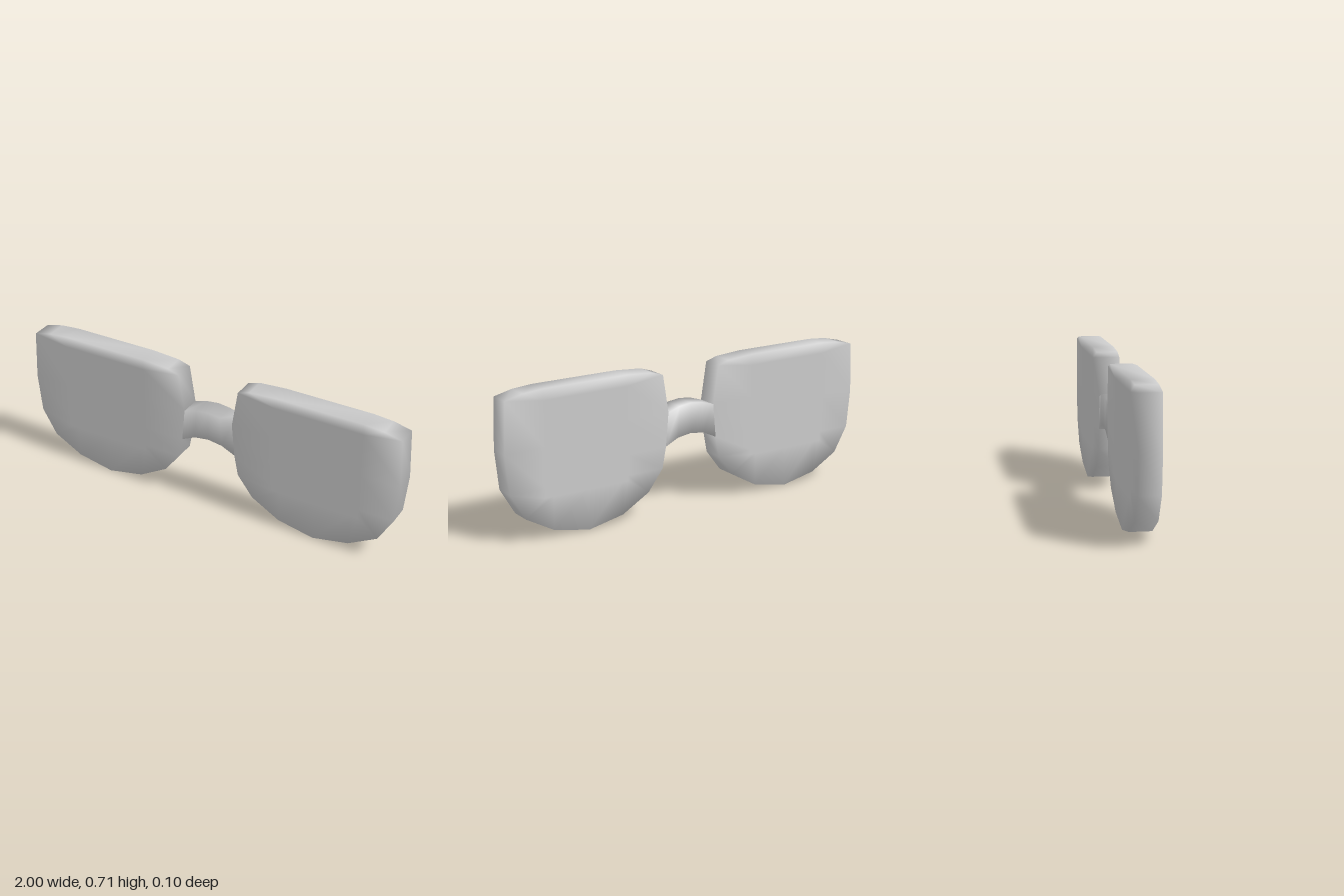
import * as THREE from 'three';
import { mergeVertices } from 'three/addons/utils/BufferGeometryUtils.js';

const DEPTH = 0.052; // half thickness

// Smooth-shaded mesh from a flat list of triangle corners
function smoothMesh(name, corners) {
  const geometry = new THREE.BufferGeometry();
  geometry.setAttribute('position', new THREE.Float32BufferAttribute(corners.flat(), 3));
  const merged = mergeVertices(geometry);
  merged.computeVertexNormals();
  const material = new THREE.MeshStandardMaterial({ color: 0xcccccc, side: THREE.DoubleSide });
  const mesh = new THREE.Mesh(merged, material);
  mesh.name = name;
  return mesh;
}

const same = (a, b) => a.every((v, i) => v === b[i]);

function addTriangle(out, a, b, c) {
  if (!same(a, b) && !same(b, c) && !same(a, c)) out.push(a, b, c);
}

function addQuad(out, a, b, c, d) {
  addTriangle(out, a, b, c);
  addTriangle(out, a, c, d);
}

// Lens outline, counter-clockwise; the gap from last to first meets the bridge
const lensOutline = [
  [0.145, 0.33], [0.165, 0.225], [0.245, 0.12], [0.39, 0.037], [0.575, 0],
  [0.76, 0.037], [0.905, 0.118], [0.98, 0.246], [1, 0.44], [0.99, 0.685],
  [0.9, 0.706], [0.8, 0.714], [0.36, 0.714], [0.22, 0.704], [0.16, 0.685], [0.13, 0.497],
];

function createLens(name, side) {
  const outline = lensOutline.map(([x, y]) => [x * side, y]);
  if (side < 0) outline.reverse();
  // Flat inner panel: the outline pulled in onto a rectangle
  const panel = outline.map(([x, y]) => [
    side * THREE.MathUtils.clamp(x * side, 0.36, 0.8),
    THREE.MathUtils.clamp(y, 0.2, 0.66),
  ]);
  const ring = (points, z) => points.map(([x, y]) => [x, y, z]);
  const rings = [ring(panel, -DEPTH), ring(outline, -DEPTH), ring(outline, DEPTH), ring(panel, DEPTH)];
  const corners = [];
  const n = outline.length;
  for (let i = 0; i < n; i++) {
    const j = (i + 1) % n;
    for (let r = 0; r < 3; r++) {
      if (r === 1 && j === 0) continue; // open where the bridge joins
      addQuad(corners, rings[r][i], rings[r][j], rings[r + 1][j], rings[r + 1][i]);
    }
    const middle = [0.58 * side, 0.43];
    addTriangle(corners, [...middle, DEPTH], rings[3][i], rings[3][j]);
    addTriangle(corners, [...middle, -DEPTH], rings[0][j], rings[0][i]);
  }
  return smoothMesh(name, corners);
}

// Arched bridge: rectangular sections running from -x to +x
function createBridge() {
  const half = [[0.13, 0.497, 0.145, 0.33], [0.065, 0.517, 0.075, 0.363]];
  const stations = [
    ...half.map(([tx, ty, bx, by]) => [-tx, ty, -bx, by]),
    [0, 0.525, 0, 0.374],
    ...half.slice().reverse(),
  ];
  const sections = stations.map(([tx, ty, bx, by]) => [
    [tx, ty, DEPTH], [tx, ty, -DEPTH], [bx, by, -DEPTH], [bx, by, DEPTH],
  ]);
  const corners = [];
  for (let s = 0; s < sections.length - 1; s++) {
    const a = sections[s], b = sections[s + 1];
    for (let k = 0; k < 4; k++) {
      const m = (k + 1) % 4;
      addQuad(corners, a[k], b[k], b[m], a[m]);
    }
  }
  return smoothMesh('bridge', corners);
}

export function createModel() {
  const group = new THREE.Group();
  group.name = 'glasses';
  group.add(createLens('leftLens', 1), createLens('rightLens', -1), createBridge());
  return group;
}
